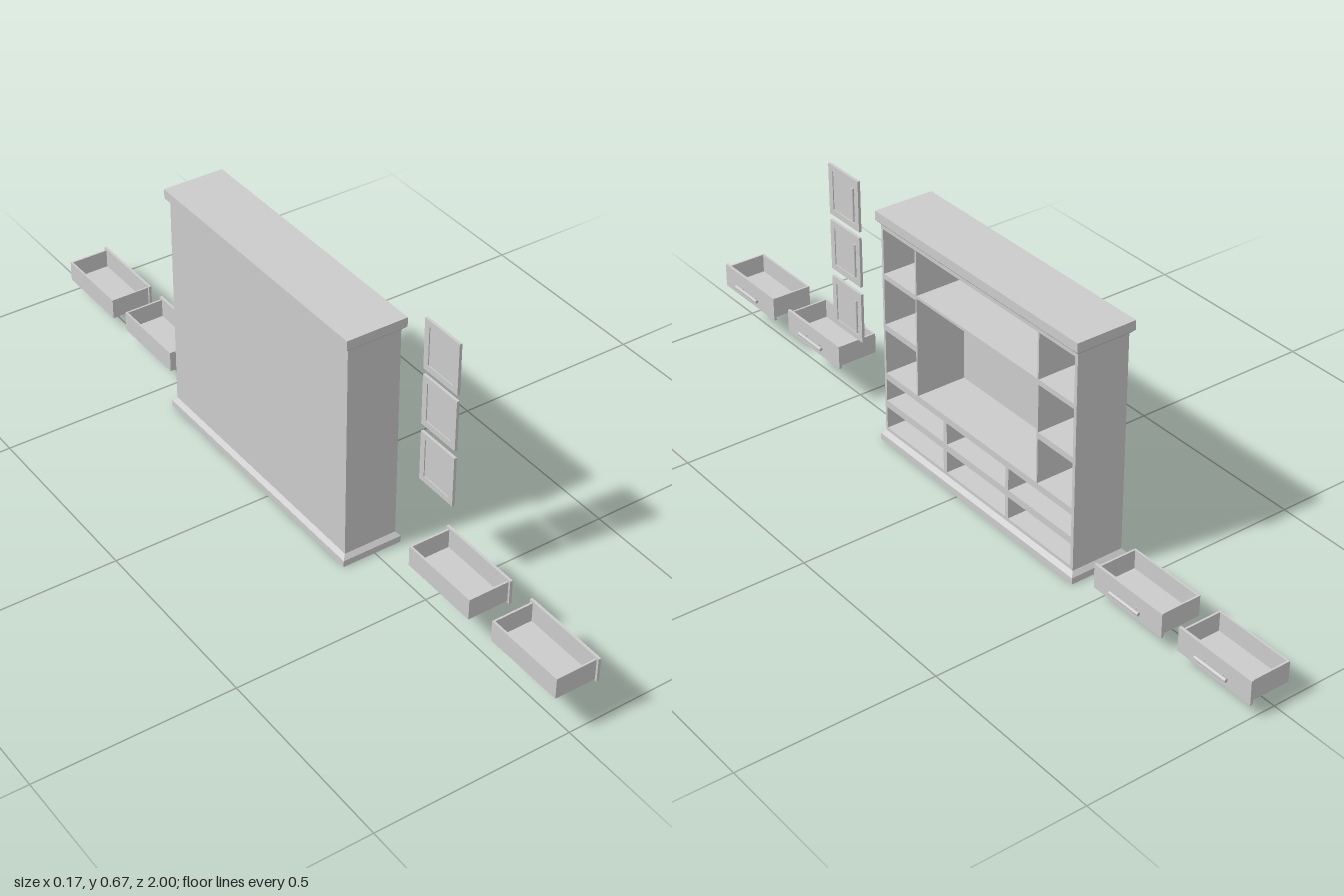
import * as THREE from 'three';

const grey = new THREE.MeshStandardMaterial({ color: 0xcccccc, flatShading: true });
const smooth = new THREE.MeshStandardMaterial({ color: 0xcccccc });

// Cabinet body extents; the cabinet opens towards +x
const X0 = -0.077, X1 = 0.063, Z0 = -0.416, Z1 = 0.298;

// Box given by its limits on each axis
function slab(parent, name, x0, x1, y0, y1, z0, z1) {
  const mesh = new THREE.Mesh(new THREE.BoxGeometry(x1 - x0, y1 - y0, z1 - z0), grey);
  mesh.position.set((x0 + x1) / 2, (y0 + y1) / 2, (z0 + z1) / 2);
  mesh.name = name;
  parent.add(mesh);
}

// Rectangular moulding: each section is [outset from the body, height]
function moulding(parent, name, sections) {
  const pos = [];
  const corners = ([o, y]) => [
    [X0 - o, y, Z0 - o], [X0 - o, y, Z1 + o], [X1 + o, y, Z1 + o], [X1 + o, y, Z0 - o]];
  for (let i = 0; i < sections.length - 1; i++) {
    const a = corners(sections[i]), b = corners(sections[i + 1]);
    for (let j = 0; j < 4; j++) {
      const k = (j + 1) % 4;
      pos.push(...a[j], ...a[k], ...b[k], ...a[j], ...b[k], ...b[j]);
    }
  }
  const geo = new THREE.BufferGeometry();
  geo.setAttribute('position', new THREE.Float32BufferAttribute(pos, 3));
  geo.computeVertexNormals();
  const mesh = new THREE.Mesh(geo, grey);
  mesh.name = name;
  parent.add(mesh);
}

// Round bar on two posts, lying along z
function handle(length, reach, radius) {
  const g = new THREE.Group();
  g.name = 'handle';
  const bar = new THREE.Mesh(new THREE.CylinderGeometry(radius, radius, length, 16), smooth);
  bar.name = 'handleBar';
  bar.rotation.x = Math.PI / 2;
  bar.position.x = reach;
  g.add(bar);
  for (const s of [-1, 1]) {
    const post = new THREE.Mesh(new THREE.CylinderGeometry(0.002, 0.002, reach, 10), smooth);
    post.name = 'handlePost';
    post.rotation.z = Math.PI / 2;
    post.position.set(reach / 2, 0, s * length * 0.3);
    g.add(post);
  }
  return g;
}

function makeCabinet() {
  const g = new THREE.Group();
  g.name = 'cabinet';
  moulding(g, 'plinth', [[-0.012, 0.028], [-0.012, 0], [0.0095, 0], [0.0095, 0.017], [0, 0.028], [-0.012, 0.028]]);
  moulding(g, 'cornice', [[-0.07, 0.59], [0, 0.59], [0.0095, 0.6], [0.0095, 0.624], [-0.07, 0.624]]);
  slab(g, 'backPanel', X0, X0 + 0.006, 0.028, 0.59, Z0, Z1);
  slab(g, 'sidePanel', X0, X1, 0.028, 0.59, Z0, Z0 + 0.009);
  slab(g, 'sidePanel', X0, X1, 0.028, 0.59, Z1 - 0.007, Z1);
  // full-width boards
  for (const [a, b] of [[0.026, 0.037], [0.096, 0.115], [0.174, 0.192], [0.58, 0.592]])
    slab(g, 'board', X0, X1, a, b, Z0, Z1);
  // uprights between the drawer bays
  for (const [a, b] of [[0.051, 0.064], [-0.182, -0.171]])
    slab(g, 'drawerDivider', X0, X1, 0, 0.18, a, b);
  // uprights beside the wide middle bay
  for (const [a, b] of [[0.163, 0.168], [-0.286, -0.281]])
    slab(g, 'upright', X0, X1, 0.19, 0.585, a, b);
  // shelves in the side columns and the middle bay
  for (const [a, b] of [[0.31, 0.326], [0.449, 0.4625]]) {
    slab(g, 'sideShelf', X0, X1, a, b, 0.166, Z1 - 0.003);
    slab(g, 'sideShelf', X0, X1, a, b, Z0 + 0.003, -0.284);
  }
  slab(g, 'middleShelf', X0, X1, 0.455, 0.4625, -0.283, 0.165);
  return g;
}

function makeDrawer(y, z) {
  const g = new THREE.Group();
  g.name = 'drawer';
  const w = 0.107, t = 0.005, h = 0.027, x0 = -0.042, x1 = 0.063;
  slab(g, 'drawerFloor', x0, x1, -h, -h + t, -w, w);
  slab(g, 'drawerBack', x0, x0 + t, -h, h, -w, w);
  slab(g, 'drawerSide', x0, x1, -h, h, -w, -w + t);
  slab(g, 'drawerSide', x0, x1, -h, h, w - t, w);
  slab(g, 'drawerFront', x1, 0.07, -0.0315, 0.0315, -0.1125, 0.1125);
  const pull = handle(0.097, 0.01, 0.0045);
  pull.position.set(0.07, -0.003, 0);
  g.add(pull);
  g.position.set(0, y, z);
  return g;
}

function makeDoor(y, z) {
  const g = new THREE.Group();
  g.name = 'door';
  const w = 0.06, h = 0.066, f = 0.016;
  slab(g, 'doorPanel', 0.0665, 0.0685, -h + f, h - f, -w + f, w - f);
  for (const s of [-1, 1]) {
    const a = s * w, b = s * (w - f), c = s * h, d = s * (h - f);
    slab(g, 'doorStile', 0.064, 0.071, -h, h, Math.min(a, b), Math.max(a, b));
    slab(g, 'doorRail', 0.064, 0.071, Math.min(c, d), Math.max(c, d), -w + f, w - f);
  }
  const pull = handle(0.087, 0.005, 0.003);
  pull.rotation.x = Math.PI / 2;
  pull.position.set(0.071, 0.002, -0.046);
  g.add(pull);
  g.position.set(0, y, z);
  return g;
}

export function createModel() {
  const model = new THREE.Group();
  model.name = 'wallUnit';
  model.add(makeCabinet());
  // loose drawers on either side
  for (const z of [0.8875, 0.596]) model.add(makeDrawer(0.141, z));
  for (const z of [-0.61, -0.8875]) model.add(makeDrawer(0.067, z));
  // loose doors, one above the other
  for (const y of [0.302, 0.454, 0.602]) model.add(makeDoor(y, 0.438));
  return model;
}
